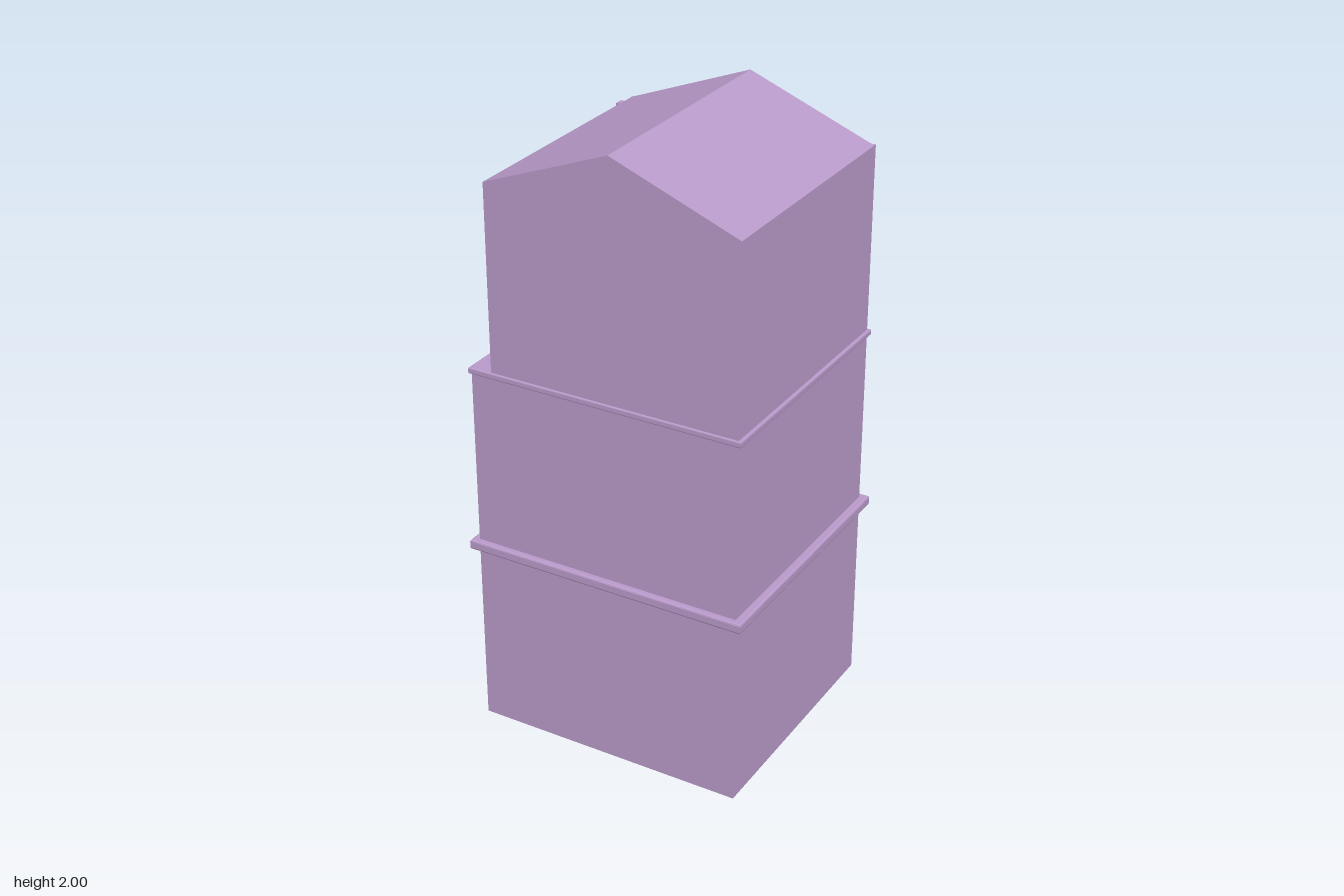
import * as THREE from 'three';

export function createModel() {
  const model = new THREE.Group();
  const wallMat = new THREE.MeshStandardMaterial({ color: 0xba9bcb });
  const panelMat = new THREE.MeshStandardMaterial({ color: 0x5a7d20 });

  // box given by its min and max corners
  function block(name, x0, x1, y0, y1, z0, z1, mat = wallMat) {
    const mesh = new THREE.Mesh(new THREE.BoxGeometry(x1 - x0, y1 - y0, z1 - z0), mat);
    mesh.position.set((x0 + x1) / 2, (y0 + y1) / 2, (z0 + z1) / 2);
    mesh.name = name;
    model.add(mesh);
  }

  // bevelled slab that shows as a moulding around the walls
  function moulding(name, hx, hz, y0, y1, bevel) {
    const x = hx - bevel, z = hz - bevel;
    const shape = new THREE.Shape([
      new THREE.Vector2(-x, -z), new THREE.Vector2(x, -z),
      new THREE.Vector2(x, z), new THREE.Vector2(-x, z),
    ]);
    const geo = new THREE.ExtrudeGeometry(shape, {
      depth: y1 - y0 - 2 * bevel, bevelEnabled: true,
      bevelThickness: bevel, bevelSize: bevel, bevelSegments: 2,
    });
    geo.rotateX(-Math.PI / 2);
    const mesh = new THREE.Mesh(geo, wallMat);
    mesh.position.y = y0 + bevel;
    mesh.name = name;
    model.add(mesh);
  }

  // three storeys, the top one set back on one side
  block('groundStorey', -0.45, 0.448, 0, 0.63, -0.408, 0.41);
  block('middleStorey', -0.45, 0.448, 0.63, 1.23, -0.408, 0.41);
  block('topStorey', -0.38, 0.448, 1.23, 1.84, -0.408, 0.41);

  moulding('lowerMoulding', 0.473, 0.43, 0.615, 0.648, 0.006);
  moulding('upperMoulding', 0.458, 0.416, 1.22, 1.24, 0.004);

  // gabled roof, its back gable slightly recessed
  const gable = new THREE.Shape([
    new THREE.Vector2(-0.38, 1.84), new THREE.Vector2(0.448, 1.84), new THREE.Vector2(0.034, 2),
  ]);
  const roof = new THREE.Mesh(
    new THREE.ExtrudeGeometry(gable, { depth: 0.808, bevelEnabled: false }), wallMat);
  roof.position.z = -0.398;
  roof.name = 'roof';
  model.add(roof);

  // flue at the back corner of the set-back
  block('flue', -0.422, -0.38, 1.235, 1.82, -0.403, -0.374);

  // thin panels: wall x, y range, z range
  const panels = [
    [-0.45, 0.305, 0.585, 0.125, 0.243],
    [-0.45, 0.82, 1.03, -0.34, -0.22],
    [-0.45, 1.05, 1.14, -0.37, -0.265],
    [-0.45, 1.05, 1.14, -0.255, -0.135],
    [-0.45, 0.88, 0.95, -0.145, -0.06],
    [-0.38, 1.365, 1.65, 0.23, 0.29],
    [-0.38, 1.46, 1.66, 0.322, 0.385],
  ];
  panels.forEach(([x, y0, y1, z0, z1], i) =>
    block(`windowPanel${i + 1}`, x - 0.006, x + 0.004, y0, y1, z0, z1, panelMat));

  return model;
}
